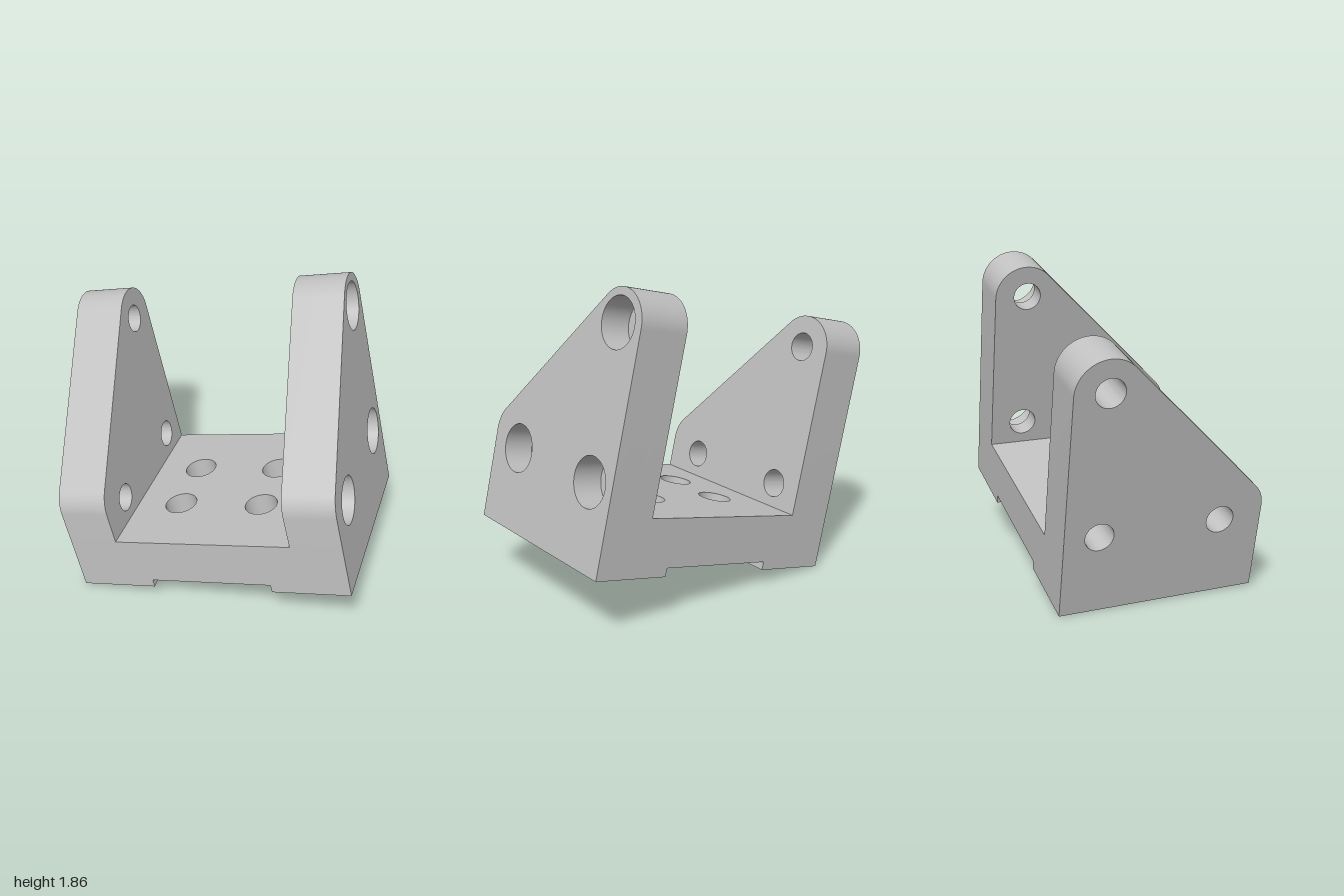
import * as THREE from 'three';
import { toCreasedNormals } from 'three/addons/utils/BufferGeometryUtils.js';

const WIDTH = 1.695, HALF = 0.587, FLOOR = 0.335, WALL = 0.304, HEIGHT = 1.514;
const FOOT = 0.472, GROOVE = 0.05, BORE_FLOOR = 0.175, BORE_DEPTH = 0.18;

const metal = new THREE.MeshStandardMaterial({ color: 0xc0c0c0 });
metal.name = 'grey metal';

function addHoles(shape, centres, radius) {
  for (const [x, y] of centres) {
    const hole = new THREE.Path();
    hole.absarc(x, y, radius, 0, Math.PI * 2, true);
    shape.holes.push(hole);
  }
}

function extrude(name, shape, depth) {
  const geometry = new THREE.ExtrudeGeometry(shape, { depth, bevelEnabled: false, curveSegments: 28 });
  const mesh = new THREE.Mesh(geometry, metal);
  mesh.name = name;
  return mesh;
}

// Horizontal slab from x0 to x1 and y0 to y1; holes are [radius, centres]
function slab(name, x0, x1, y0, y1, holes = []) {
  const shape = new THREE.Shape([[x0, -HALF], [x1, -HALF], [x1, HALF], [x0, HALF]]
    .map(([x, y]) => new THREE.Vector2(x, y)));
  for (const [radius, centres] of holes) addHoles(shape, centres, radius);
  const mesh = extrude(name, shape, y1 - y0);
  mesh.geometry.rotateX(-Math.PI / 2).translate(0, y0, 0);
  mesh.geometry = toCreasedNormals(mesh.geometry, 0.5);
  return mesh;
}

// Upright cheek layer with a sloping, rounded front edge and three holes
function cheek(name, x0, x1, radius) {
  const r = 0.19, c = HALF - r;
  const shape = new THREE.Shape();
  shape.moveTo(-HALF, FLOOR);
  shape.lineTo(HALF, FLOOR);
  shape.lineTo(HALF, HEIGHT - r);
  shape.absarc(c, HEIGHT - r, r, 0, Math.PI * 0.75, false);
  shape.absarc(-c, HEIGHT - r - 2 * c + 0.003, r, Math.PI * 0.75, Math.PI, false);
  shape.lineTo(-HALF, FLOOR);
  addHoles(shape, [[0.39, 1.327], [0.386, 0.478], [-0.331, 0.478]], radius);
  const mesh = extrude(name, shape, x1 - x0);
  mesh.geometry.rotateY(Math.PI / 2).translate(x0, 0, 0);
  mesh.geometry = toCreasedNormals(mesh.geometry, 0.5);
  return mesh;
}

export function createModel() {
  const bracket = new THREE.Group();
  bracket.name = 'bracket';

  // Base: two feet, then a lower layer with bolt holes and an upper one with counterbores
  const bolts = [];
  for (const dx of [-0.261, 0.261]) for (const z of [-0.19, 0.19]) bolts.push([WIDTH / 2 + dx, z]);
  const pinHole = [0.065, [[0.192, 0]]];
  bracket.add(
    slab('rightFoot', 0, FOOT, 0, GROOVE, [pinHole]),
    slab('leftFoot', WIDTH - FOOT, WIDTH, 0, GROOVE),
    slab('lowerBase', 0, WIDTH, GROOVE, BORE_FLOOR, [pinHole, [0.054, bolts]]),
    slab('upperBase', 0, WIDTH, BORE_FLOOR, FLOOR, [[0.098, bolts]]),
  );

  // Cheeks: plain holes on one side, counterbored holes on the other
  bracket.add(
    cheek('rightCheek', 0, WALL, 0.083),
    cheek('leftCheekInner', WIDTH - WALL, WIDTH - BORE_DEPTH, 0.083),
    cheek('leftCheekOuter', WIDTH - BORE_DEPTH, WIDTH, 0.141),
  );

  // The whole bracket leans to one side
  bracket.rotation.set(-0.0085, -0.007, 0.2286);
  bracket.position.set(-0.66, 0.007, 0.004);

  const model = new THREE.Group();
  model.name = 'tiltedBracket';
  model.add(bracket);
  return model;
}
